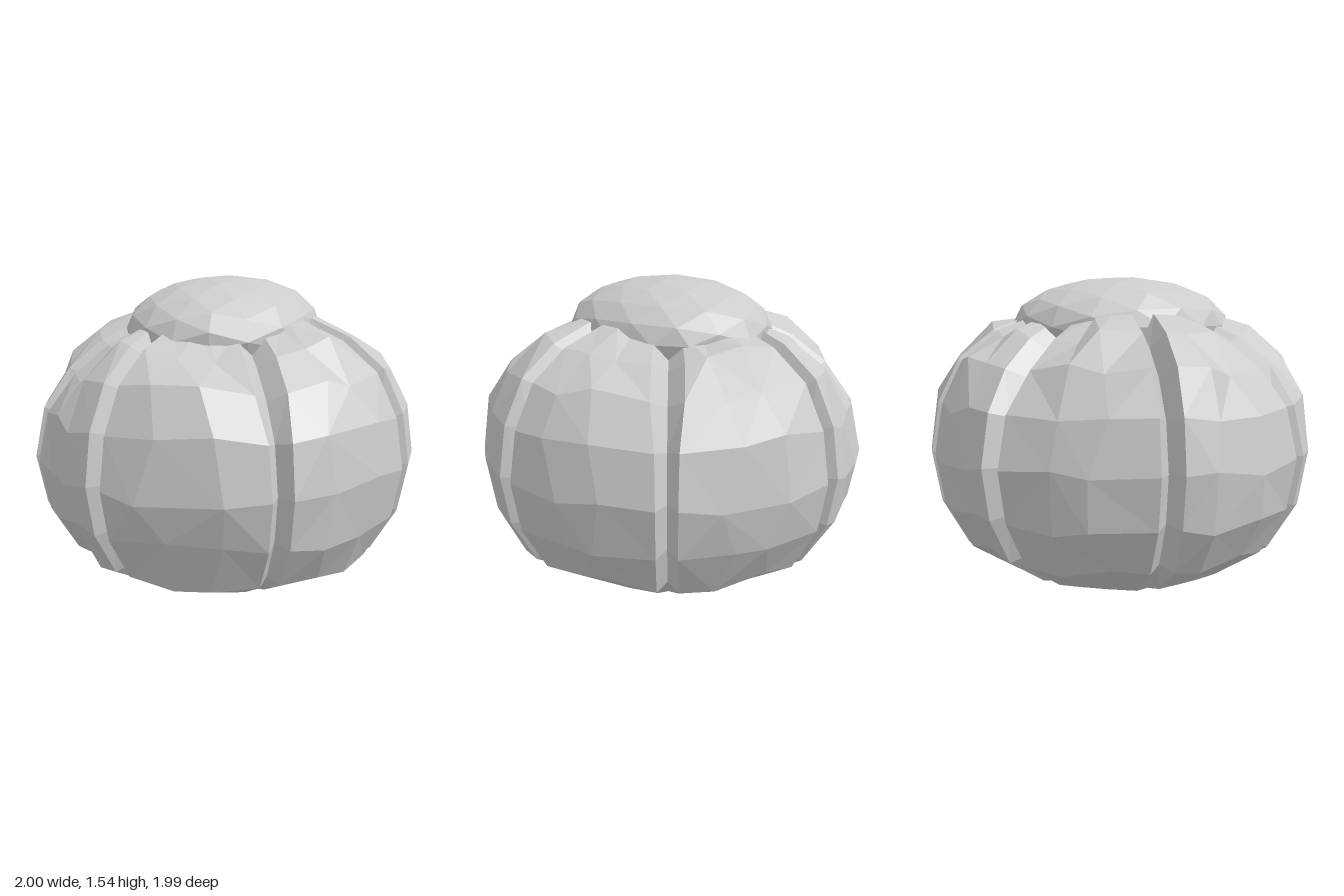
import * as THREE from 'three';

const stone = new THREE.MeshStandardMaterial({ color: 0xcccccc, flatShading: true });

// Small seeded generator for the chiselled irregularity
function seeded(seed) {
  return () => {
    seed = (seed * 16807) % 2147483647;
    return seed / 2147483647;
  };
}

// Side profile of the body:
// [radius, height, groove scale towards the core, scale of the scooped corners, groove widening]
const PROFILE = [
  [0.32, 0.006, 1, 1, 1], [0.58, 0.045, 0.99, 1, 1], [0.82, 0.19, 0.94, 1, 1],
  [0.95, 0.42, 0.925, 1, 1], [0.995, 0.67, 0.92, 1, 1], [0.955, 0.92, 0.91, 0.985, 1.1],
  [0.85, 1.13, 0.88, 0.945, 1.6], [0.67, 1.27, 0.88, 0.945, 1.6],
  [0.47, 1.345, 0.9, 0.96, 1.3], [0.3, 1.37, 0.93, 0.97, 1],
];
// Where the vertical grooves cut the rim, seen from above: [x, z, half width, diagonal]
const GROOVES = [
  [0.95, 0.02, 0.05, 0], [0.63, 0.7, 0.05, 1], [-0.15, 0.9, 0.045, 0], [-0.64, 0.69, 0.05, 1],
  [-0.95, 0.01, 0.055, 0], [-0.62, -0.7, 0.05, 1], [-0.15, -0.88, 0.045, 0], [0.61, -0.7, 0.05, 1],
];
const CORE_Y = 0.65;

// Lobed body: rings of points, each lobe bounded by two narrow V grooves
function makeBody() {
  const rnd = seeded(4211);
  const angles = GROOVES.map(([x, z]) => (Math.atan2(z, x) + Math.PI * 2) % (Math.PI * 2));
  const rings = PROFILE.map(([r, y, cut, scoop, widen], row) => {
    const ring = [];
    const jitter = row > 1 && row < 9 ? 1 : 0;
    const tilt = row < 2 ? 0.02 : 0;
    const add = (a, scale, lift = 0) => ring.push(new THREE.Vector3(
      Math.cos(a) * r * scale,
      CORE_Y + (y - CORE_Y) * scale + lift + tilt * Math.cos(a) * r,
      Math.sin(a) * r * scale));
    GROOVES.forEach(([, , half, diagonal], i) => {
      const next = (i + 1) % GROOVES.length;
      const [, , nextHalf, nextDiagonal] = GROOVES[next];
      const spread = (h, d) => (h * (d ? widen : 1)) / Math.max(r, 0.45);
      const a0 = angles[i] + spread(half, diagonal);
      const a1 = angles[next] + (next === 0 ? Math.PI * 2 : 0) - spread(nextHalf, nextDiagonal);
      // lobe corners beside the diagonal grooves are scooped out at the shoulder
      const lip = (d) => 1.005 * (d ? scoop : 1);
      add(angles[i], cut * (diagonal ? (1 + scoop) / 2 : 1));
      add(a0, lip(diagonal));
      [[0.36, diagonal], [0.68, nextDiagonal]].forEach(([t, d]) => {
        const shift = jitter * (rnd() - 0.5) * 0.2;
        const bump = 0.995 + jitter * (rnd() - 0.5) * 0.025;
        const lift = row < 8 ? jitter * (rnd() - 0.5) * 0.08 : 0;
        add(THREE.MathUtils.lerp(a0, a1, t + shift), bump * (d ? (1 + scoop) / 2 : 1), lift);
      });
      add(a1, lip(nextDiagonal));
    });
    return ring;
  });

  const pos = [];
  const tri = (...pts) => pts.forEach((p) => pos.push(p.x, p.y, p.z));
  const n = rings[0].length;
  const base = new THREE.Vector3(0, 0.006, 0);
  const crown = new THREE.Vector3(0, 1.38, 0);
  for (let j = 0; j < n; j++) {
    const k = (j + 1) % n;
    tri(base, rings[0][j], rings[0][k]);
    tri(crown, rings[rings.length - 1][k], rings[rings.length - 1][j]);
    for (let i = 0; i < rings.length - 1; i++) {
      const a = rings[i][j], b = rings[i + 1][j], c = rings[i + 1][k], d = rings[i][k];
      // split each quad along its shorter diagonal
      if (a.distanceTo(c) < b.distanceTo(d)) { tri(a, b, c); tri(a, c, d); }
      else { tri(a, b, d); tri(b, c, d); }
    }
  }
  const geo = new THREE.BufferGeometry();
  geo.setAttribute('position', new THREE.Float32BufferAttribute(pos, 3));
  geo.computeVertexNormals();
  return geo;
}

// Faceted oval dome resting on the lobes
function makeCap() {
  const geo = new THREE.IcosahedronGeometry(1, 2);
  geo.rotateY(0.4);
  geo.scale(0.48, 0.25, 0.57);
  geo.translate(0, 1.29, 0);
  return geo;
}

export function createModel() {
  const group = new THREE.Group();
  const parts = { lobedBody: makeBody(), domeCap: makeCap() };
  for (const [name, geo] of Object.entries(parts)) {
    const mesh = new THREE.Mesh(geo, stone);
    mesh.name = name;
    group.add(mesh);
  }
  return group;
}
